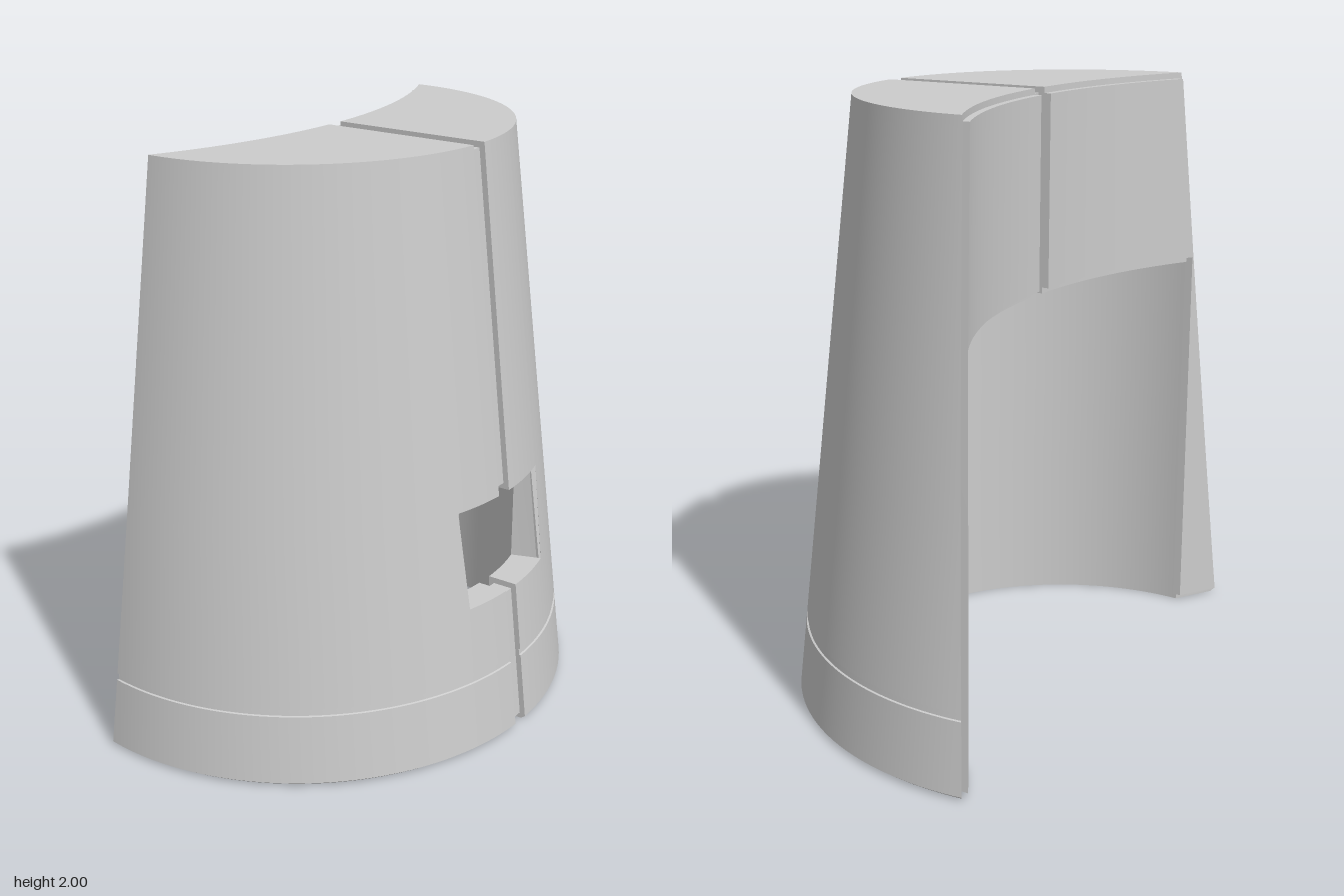
import * as THREE from 'three';
import { toCreasedNormals } from 'three/addons/utils/BufferGeometryUtils.js';

const CX = -0.4;              // axis of the tapered outer wall
const BR = 1.6, BX = -1.835;  // radius and axis of the hollow back
const RI = 0.775;             // radius of the inner cavity
const CEIL = 1.32, W0 = 0.51, W1 = 0.85; // cavity ceiling, window bottom and top
const INSET = 0.02;
const GAP = [-0.01, 0.05];    // seam between the two halves
const lerp = THREE.MathUtils.lerp;
const outerR = (y) => 0.935 - 0.1065 * y;
const backX = (z) => BX + Math.sqrt(BR * BR - z * z);

// angle at which a circle of radius r meets the back
function endAngle(r) {
  const d = CX - BX;
  return Math.acos(((d * d + BR * BR - r * r) / (2 * d) - d) / r);
}
const endZ = (r) => r * Math.sin(endAngle(r));

// closed solid from a loop of points carried along u = 0..1
function sweep(section, n) {
  const rings = [];
  for (let i = 0; i <= n; i++) rings.push(section(i / n).map((p) => new THREE.Vector3(...p)));
  const tris = [], m = rings[0].length;
  for (let i = 0; i < n; i++) {
    for (let j = 0; j < m; j++) {
      const a = rings[i][j], b = rings[i][(j + 1) % m];
      const c = rings[i + 1][(j + 1) % m], d = rings[i + 1][j];
      tris.push([a, b, c], [a, c, d]);
    }
  }
  const cap = (ring, flip) => {
    const nrm = new THREE.Vector3();
    ring.forEach((p, j) => nrm.add(p.clone().cross(ring[(j + 1) % m])));
    const ax = Math.abs(nrm.x), ay = Math.abs(nrm.y), az = Math.abs(nrm.z);
    const [u, v] = ax > ay && ax > az ? ['y', 'z'] : ay > az ? ['z', 'x'] : ['x', 'y'];
    const flat = ring.map((p) => new THREE.Vector2(p[u], p[v]));
    for (const f of THREE.ShapeUtils.triangulateShape(flat, [])) {
      const t = f.map((k) => ring[k]);
      const fn = t[1].clone().sub(t[0]).cross(t[2].clone().sub(t[0]));
      if ((fn.dot(nrm) < 0) !== flip) t.reverse();
      tris.push(t);
    }
  };
  cap(rings[0], true);
  cap(rings[n], false);
  // turn the whole solid outwards
  let vol = 0;
  for (const [a, b, c] of tris) vol += a.dot(b.clone().cross(c));
  const pos = [];
  for (const t of tris) {
    const [a, b, c] = vol < 0 ? [t[0], t[2], t[1]] : t;
    const area = b.clone().sub(a).cross(c.clone().sub(a)).length();
    if (area > 1e-9) for (const p of [a, b, c]) pos.push(p.x, p.y, p.z);
  }
  const g = new THREE.BufferGeometry();
  g.setAttribute('position', new THREE.Float32BufferAttribute(pos, 3));
  return toCreasedNormals(g, 0.4);
}

// profile points: y, radius, and whether the point lies on the back
const P = (y, r = outerR(y), back = false) => ({ y, r, back });
const lowOuter = [
  P(0, 0.918), P(0.012), P(0.245), P(0.247, outerR(0.247) - 0.006),
  P(0.268, outerR(0.268) - 0.006), P(0.27), P(W0),
];
const highOuter = [P(W1), P(2), P(2, outerR(2), true), P(CEIL, RI, true), P(CEIL, RI), P(W1, RI)];
const lowInner = [P(W0, RI), P(0, RI)];

export function createModel() {
  const model = new THREE.Group();
  const grey = new THREE.MeshStandardMaterial({ color: 0xcccccc });
  grey.name = 'light grey';
  const add = (name, geo, parent) => {
    const mesh = new THREE.Mesh(geo, grey);
    mesh.name = name;
    parent.add(mesh);
  };

  for (const side of [1, -1]) {
    const half = new THREE.Group();
    half.name = side > 0 ? 'frontHalf' : 'rearHalf';
    model.add(half);
    const z0 = side > 0 ? GAP[1] : -GAP[0];

    // window edge as a share of the half's sweep, leaning slightly outwards
    const edge = (y) => {
      const yc = THREE.MathUtils.clamp(y, W0, W1);
      return (0.277 + 0.09 * (yc - 0.68) - z0 / 0.86) / (1.66 - z0 / 0.86);
    };
    const place = (p, t) => {
      if (p.back) {
        const z = lerp(z0, endZ(p.r), t);
        return [backX(z), p.y, side * z];
      }
      const a = lerp(Math.asin(z0 / p.r), endAngle(p.r), t);
      return [CX + p.r * Math.cos(a), p.y, side * p.r * Math.sin(a)];
    };
    const beside = (loop) => (u) => loop.map((p) => place(p, u * edge(p.y)));
    const beyond = (loop) => (u) => loop.map((p) => place(p, lerp(edge(p.y), 1, u)));

    // shell below, above and beyond the window
    add('wallBelowWindow', sweep(beside([...lowOuter, ...lowInner]), 8), half);
    add('wallAboveWindow', sweep(beside(highOuter), 8), half);
    add('mainShell', sweep(beyond([...lowOuter, ...highOuter, ...lowInner]), 40), half);

    // raised backing, slightly smaller than the back face
    const rimEnd = (y) => endZ(outerR(y)) - INSET;
    const top = 2 - INSET, low = CEIL + INSET;
    const strip = (z, y, off) => [backX(z) - off, y, side * z];
    const OFF = 0.024;
    add('upperBacking', sweep((u) => {
      const a = lerp(z0, rimEnd(low), u), b = lerp(z0, rimEnd(top), u);
      return [strip(a, low, OFF), strip(b, top, OFF), strip(b, top, -0.003), strip(a, low, -0.003)];
    }, 32), half);
    const legIn = Math.min(endZ(RI) + 0.008, rimEnd(low) - 0.004);
    add('legBacking', sweep((u) => {
      const y = lerp(INSET, low, u), e = rimEnd(y);
      return [strip(legIn, y, OFF), strip(e, y, OFF), strip(e, y, -0.003), strip(legIn, y, -0.003)];
    }, 6), half);
  }

  // recessed web that joins the halves along the seam
  const web = (name, pts) => {
    add(name, sweep((u) => pts.map(([x, y]) => [x, y, lerp(GAP[0], GAP[1], u)]), 1), model);
  };
  const ox = (y) => CX + outerR(y) - INSET;
  const ix = CX + RI + INSET;
  const bx = backX(0) + INSET;
  web('lowerSeamWeb', [
    [ix, INSET], [ox(INSET), INSET], [ox(W0 - INSET), W0 - INSET], [ix, W0 - INSET],
  ]);
  const yt = CEIL + INSET, yw = W1 + INSET;
  const thin = (y) => Math.min(ix, ox(y) - 0.008);
  web('upperSeamWeb', [
    [thin(yw), yw], [ox(yw), yw], [ox(2 - INSET), 2 - INSET], [bx, 2 - INSET],
    [bx, yt], [thin(yt), yt],
  ]);
  return model;
}
